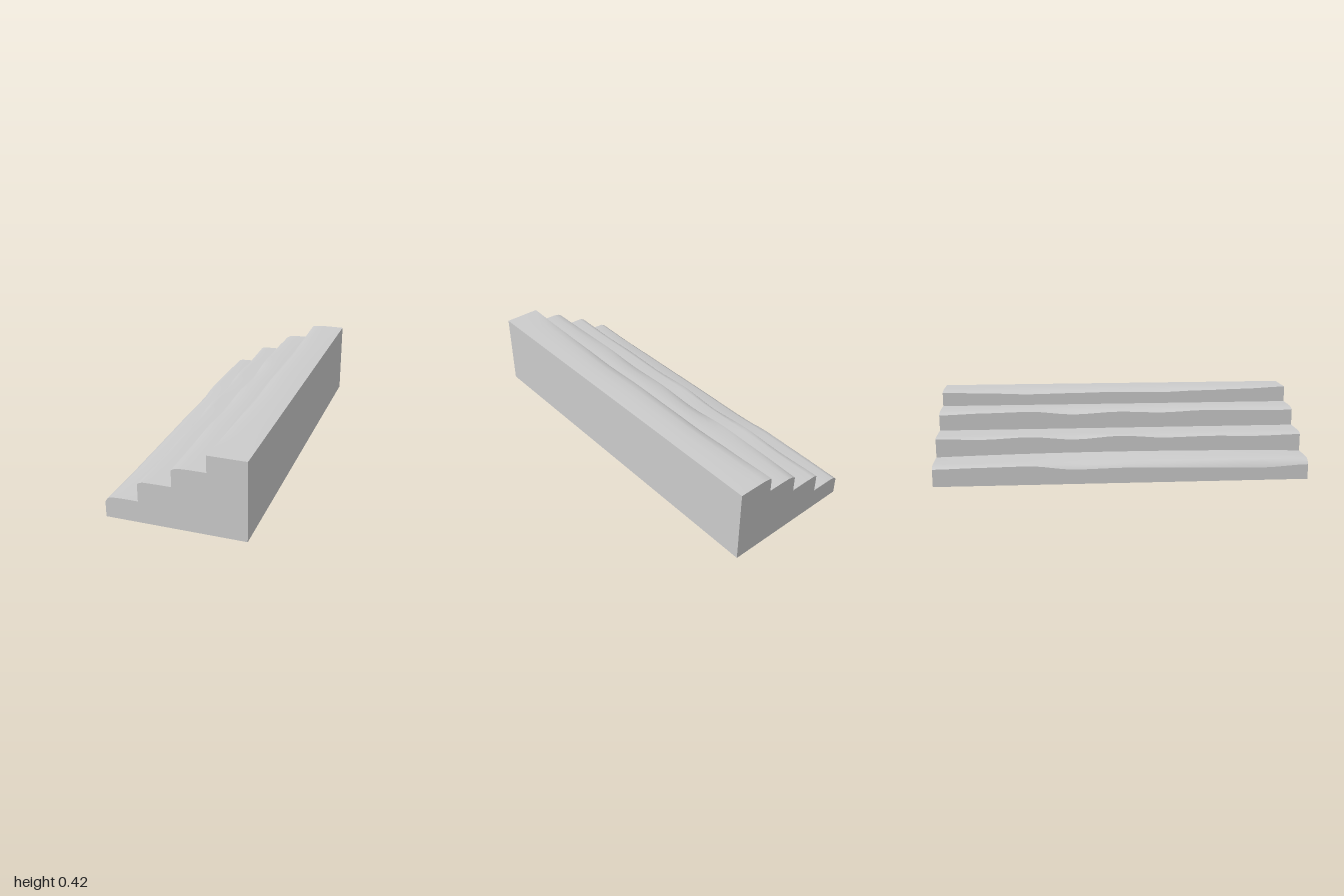
import * as THREE from 'three';

const edges = [-0.36, -0.187, -0.012, 0.163, 0.36];
const BASE = 0.006;
// Each step: tread height, hump of the tread, hump behind the tread, worn width, nose wear along z
const steps = [
  { y: 0.12, mid: 0.006, back: 0.014, width: 0.03, wear: [0.02, 0.015, 0.012, 0.035, 0.03, 0.035, 0.04, 0.045, 0.032] },
  { y: 0.228, mid: 0, back: 0, width: 0.03, wear: [0.008, 0.015, 0.005, 0.022, 0.006, 0.02, 0.015, 0.02, 0.014] },
  { y: 0.332, mid: 0.006, back: 0, width: 0.045, wear: [0.018, 0.01, 0.005, 0.024, 0.012, 0.02, 0.01, 0.015, 0.016] },
  { y: 0.42, mid: 0.003, back: 0, width: 0.05, wear: [0.01, 0.018, 0.026, 0.022, 0.018, 0.024, 0.016, 0.01, 0] },
];
const N = 32;

// Smoothly interpolated nose wear at z
function wearAt(table, z) {
  const f = (z + 1) / 2 * (table.length - 1);
  const i = Math.min(Math.floor(f), table.length - 2);
  return THREE.MathUtils.lerp(table[i], table[i + 1], THREE.MathUtils.smoothstep(f - i, 0, 1));
}
const swell = (z) => Math.max(0, 1 - z * z);

// Height at the rear of a tread
const rearY = (i, z) => (i < 0 ? BASE : steps[i].y + steps[i].back * swell(z));

function riser(i, z) {
  const s = steps[i];
  return [[edges[i], rearY(i - 1, z)], [edges[i], s.y - wearAt(s.wear, z)]];
}

function tread(i, z) {
  const s = steps[i], x = edges[i], drop = wearAt(s.wear, z), run = edges[i + 1] - x;
  return [
    [x, s.y - drop],
    [x + s.width * 0.4, s.y - drop * 0.4],
    [x + s.width, s.y - drop * 0.1],
    [x + run * 0.55, s.y + s.mid * swell(z)],
    [edges[i + 1], rearY(i, z)],
  ];
}

// Surface swept along z from a list of profile points at each section
function strip(name, profile, material) {
  const pos = [], index = [];
  const n = profile(0).length;
  for (let k = 0; k <= N; k++) {
    const z = -1 + 2 * k / N;
    for (const [x, y] of profile(z)) pos.push(x, y, z);
  }
  for (let k = 0; k < N; k++) {
    for (let j = 0; j < n - 1; j++) {
      const a = k * n + j, b = a + n;
      index.push(a, b, a + 1, b, b + 1, a + 1);
    }
  }
  const geo = new THREE.BufferGeometry();
  geo.setAttribute('position', new THREE.Float32BufferAttribute(pos, 3));
  geo.setIndex(index);
  geo.computeVertexNormals();
  const mesh = new THREE.Mesh(geo, material);
  mesh.name = name;
  return mesh;
}

// Flat end wall closing the flight at z = +1 or -1
function endWall(z, name, material) {
  const pts = [[edges[0], BASE]];
  steps.forEach((s, i) => {
    if (i > 0) pts.push(riser(i, z)[0]);
    pts.push(...tread(i, z).slice(0, i < 3 ? 4 : 5));
  });
  pts.push([edges[4], BASE]);
  const geo = new THREE.ShapeGeometry(new THREE.Shape(pts.map(([x, y]) => new THREE.Vector2(x, y))));
  if (z < 0) {
    geo.index.array.reverse();
    geo.computeVertexNormals();
  }
  const mesh = new THREE.Mesh(geo, material);
  mesh.position.z = z;
  mesh.name = name;
  return mesh;
}

export function createModel() {
  const group = new THREE.Group();
  group.name = 'wornStairs';
  const stone = new THREE.MeshStandardMaterial({ color: 0xcccccc });

  // Worn treads and risers
  steps.forEach((s, i) => {
    group.add(strip(`riser${i + 1}`, (z) => riser(i, z), stone));
    group.add(strip(`tread${i + 1}`, (z) => tread(i, z), stone));
  });

  // Tall rear wall and slightly uneven underside
  group.add(strip('rearWall', (z) => [[edges[4], rearY(3, z)], [edges[4], BASE]], stone));
  const sag = (z) => BASE - 0.006 * Math.max(0, 1 - ((z + 0.5) / 0.4) ** 2);
  group.add(strip('underside', (z) => [
    [edges[4], BASE], [0.16, BASE], [0.03, sag(z)], [-0.18, BASE], [edges[0], BASE],
  ], stone));

  // End walls
  group.add(endWall(1, 'frontEnd', stone), endWall(-1, 'backEnd', stone));
  return group;
}
